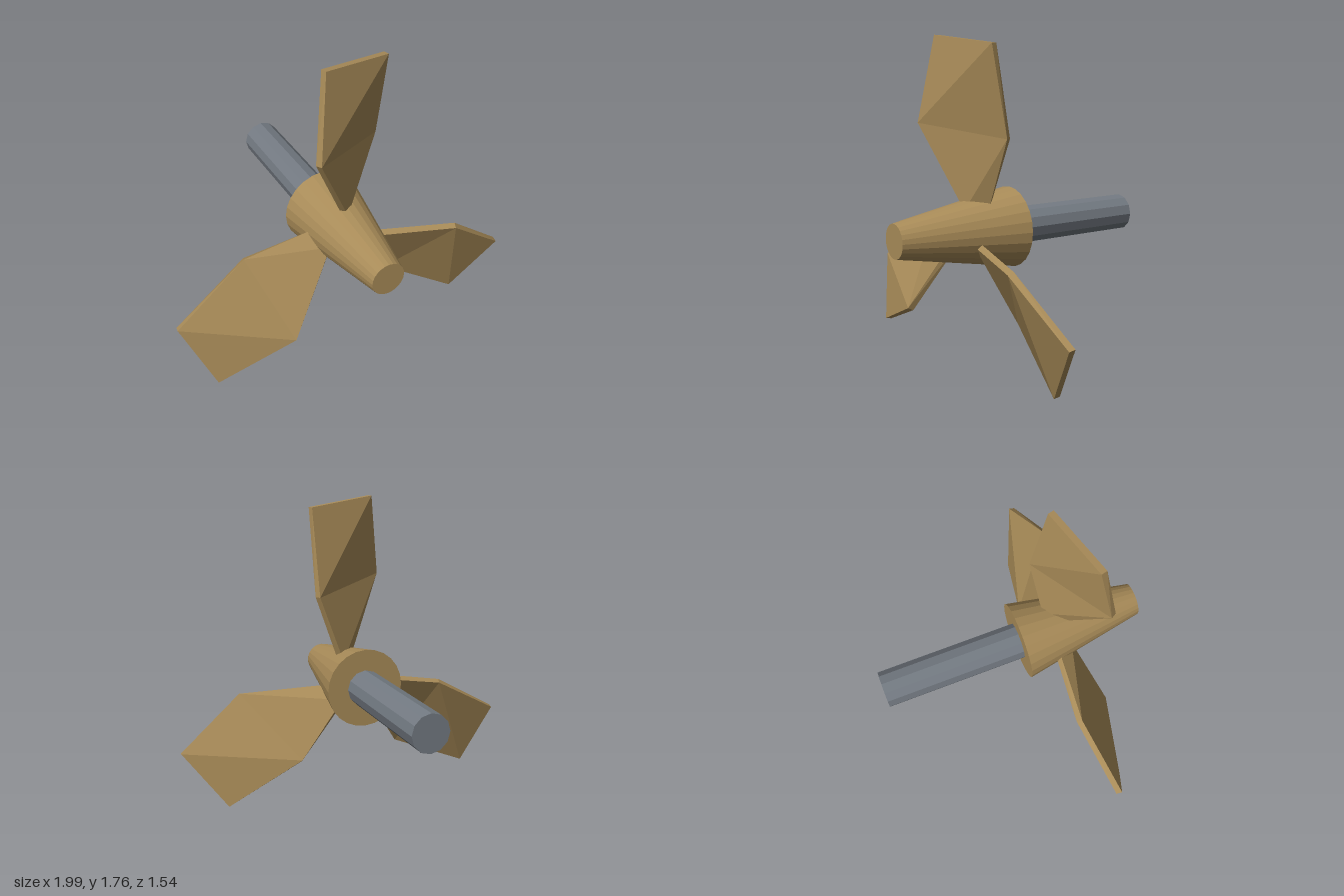
import * as THREE from 'three';

const brass = new THREE.MeshStandardMaterial({ color: 0xa88b58, flatShading: true });
const steel = new THREE.MeshStandardMaterial({ color: 0x737a82, flatShading: true });

// Blade edges from root to tip, relative to the shaft axis: leading and trailing [x, y, z]
const rows = [
  [[-0.01, 0.12, 0.335], [0.075, 0.12, 0.235]],
  [[-0.243, 0.585, 0.477], [0.222, 0.515, 0.207]],
  [[-0.178, 1.055, 0.4], [0.226, 1.01, 0.298]],
];
const thickness = 0.034;

// Twisted flat blade: a box whose three rows of corners follow the edges above
function bladeGeometry() {
  const geo = new THREE.BoxGeometry(1, 1, 1, 1, 2, 1);
  const pos = geo.attributes.position;
  for (let i = 0; i < pos.count; i++) {
    const [lead, trail] = rows[Math.round((pos.getY(i) + 0.5) * 2)];
    const p = pos.getX(i) < 0 ? lead : trail;
    const dx = trail[0] - lead[0], dz = trail[2] - lead[2];
    const k = (pos.getZ(i) * thickness) / Math.hypot(dx, dz);
    pos.setXYZ(i, p[0] - dz * k, p[1], p[2] + dx * k);
  }
  geo.computeVertexNormals();
  return geo;
}

// Cylinder or cone lying along z
function rod(name, frontR, backR, zBack, zFront, sides, material) {
  const geo = new THREE.CylinderGeometry(frontR, backR, zFront - zBack, sides);
  geo.rotateX(Math.PI / 2);
  geo.translate(0, 0, (zBack + zFront) / 2);
  const mesh = new THREE.Mesh(geo, material);
  mesh.name = name;
  return mesh;
}

export function createModel() {
  const model = new THREE.Group();
  model.name = 'propeller';

  const assembly = new THREE.Group();
  assembly.name = 'propellerAssembly';
  assembly.position.set(-0.01, 0.708, 0);
  model.add(assembly);

  // Tapered hub and drive shaft
  assembly.add(rod('hub', 0.094, 0.226, 0.05, 0.77, 24, brass));
  assembly.add(rod('shaft', 0.106, 0.106, -0.77, 0.1, 12, steel));

  // Three blades around the hub
  const geo = bladeGeometry();
  for (let i = 0; i < 3; i++) {
    const blade = new THREE.Mesh(geo, brass);
    blade.name = `blade${i + 1}`;
    blade.rotation.z = (i * Math.PI * 2) / 3;
    assembly.add(blade);
  }
  return model;
}
